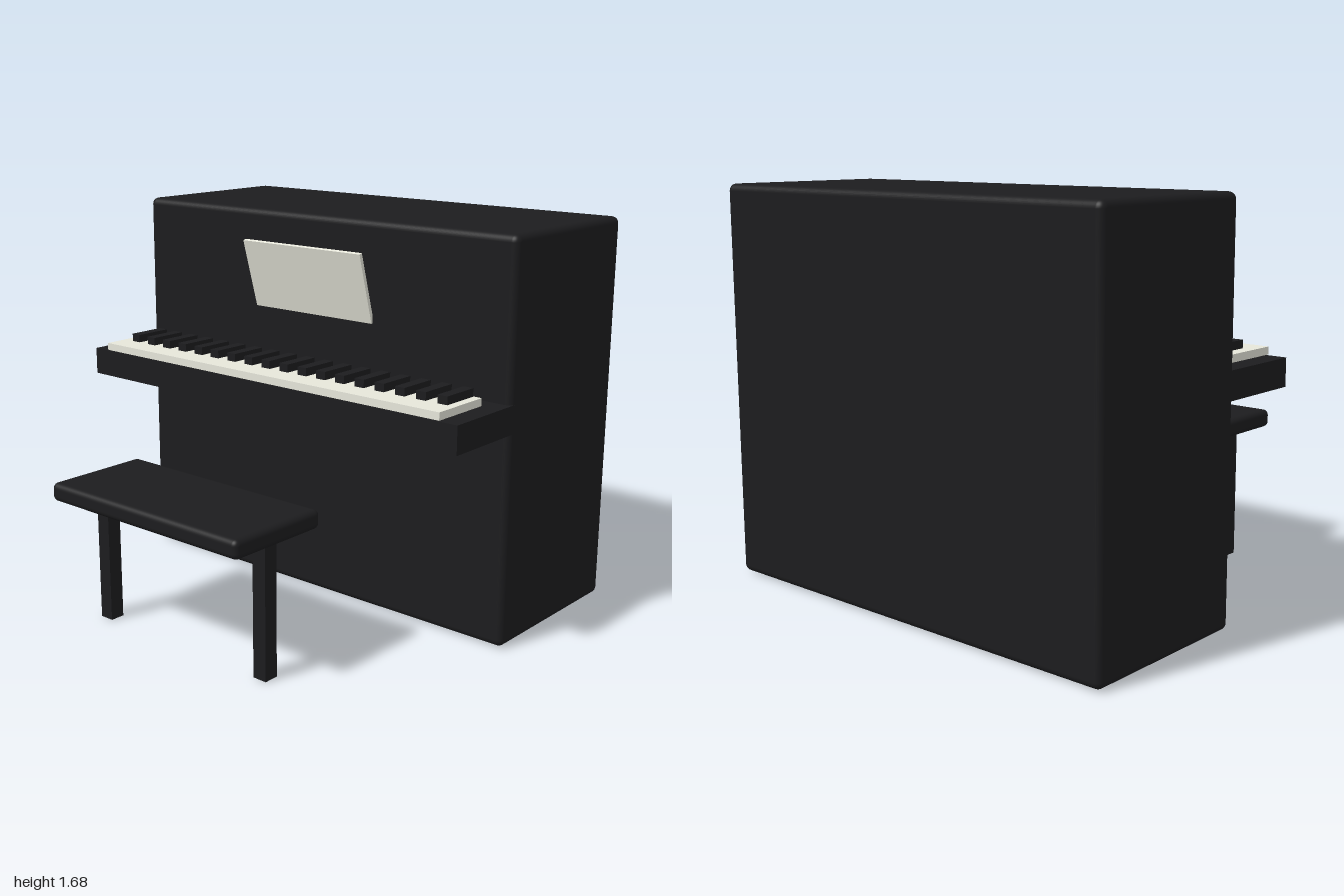
import * as THREE from 'three';
import { RoundedBoxGeometry } from 'three/addons/geometries/RoundedBoxGeometry.js';

const black = new THREE.MeshStandardMaterial({ color: 0x1c1c1e });
const ivory = new THREE.MeshStandardMaterial({ color: 0xe6e6da });

// Box given by its extents; a radius rounds its edges.
function box(name, material, [x0, x1], [y0, y1], [z0, z1], radius = 0) {
  const size = [x1 - x0, y1 - y0, z1 - z0];
  const geometry = radius
    ? new RoundedBoxGeometry(...size, 4, radius)
    : new THREE.BoxGeometry(...size);
  const mesh = new THREE.Mesh(geometry, material);
  mesh.name = name;
  mesh.position.set((x0 + x1) / 2, (y0 + y1) / 2, (z0 + z1) / 2);
  return mesh;
}

export function createModel() {
  const model = new THREE.Group();
  model.name = 'uprightPiano';

  // Cabinet and the shelf that carries the keys
  model.add(box('cabinet', black, [-1, 1], [0.005, 1.68], [-0.915, -0.122], 0.03));
  model.add(box('keybed', black, [-1, 1], [0.905, 1.022], [-0.16, 0.24]));

  // Keyboard: one ivory slab with a row of black keys
  const keyboard = new THREE.Group();
  keyboard.name = 'keyboard';
  keyboard.add(box('whiteKeys', ivory, [-0.918, 0.918], [1.025, 1.057], [-0.04, 0.24]));
  for (let i = 0; i < 18; i++) {
    const x = -0.842 + i * 0.1;
    keyboard.add(box('blackKey', black, [x - 0.023, x + 0.023], [1.056, 1.091], [-0.036, 0.136]));
  }
  model.add(keyboard);

  // Music stand, its top leaning towards the player
  const stand = box('musicStand', ivory, [-0.32, 0.32], [1.252, 1.56], [-0.088, -0.072]);
  stand.rotation.x = 0.28;
  model.add(stand);

  // Bench: padded seat on two central legs
  const bench = new THREE.Group();
  bench.name = 'bench';
  bench.add(box('seat', black, [-0.52, 0.52], [0.563, 0.642], [0.441, 0.915], 0.025));
  for (const side of [-1, 1]) {
    const x = side * 0.443;
    bench.add(box('benchLeg', black, [x - 0.032, x + 0.032], [0, 0.58], [0.648, 0.712]));
  }
  model.add(bench);

  return model;
}
